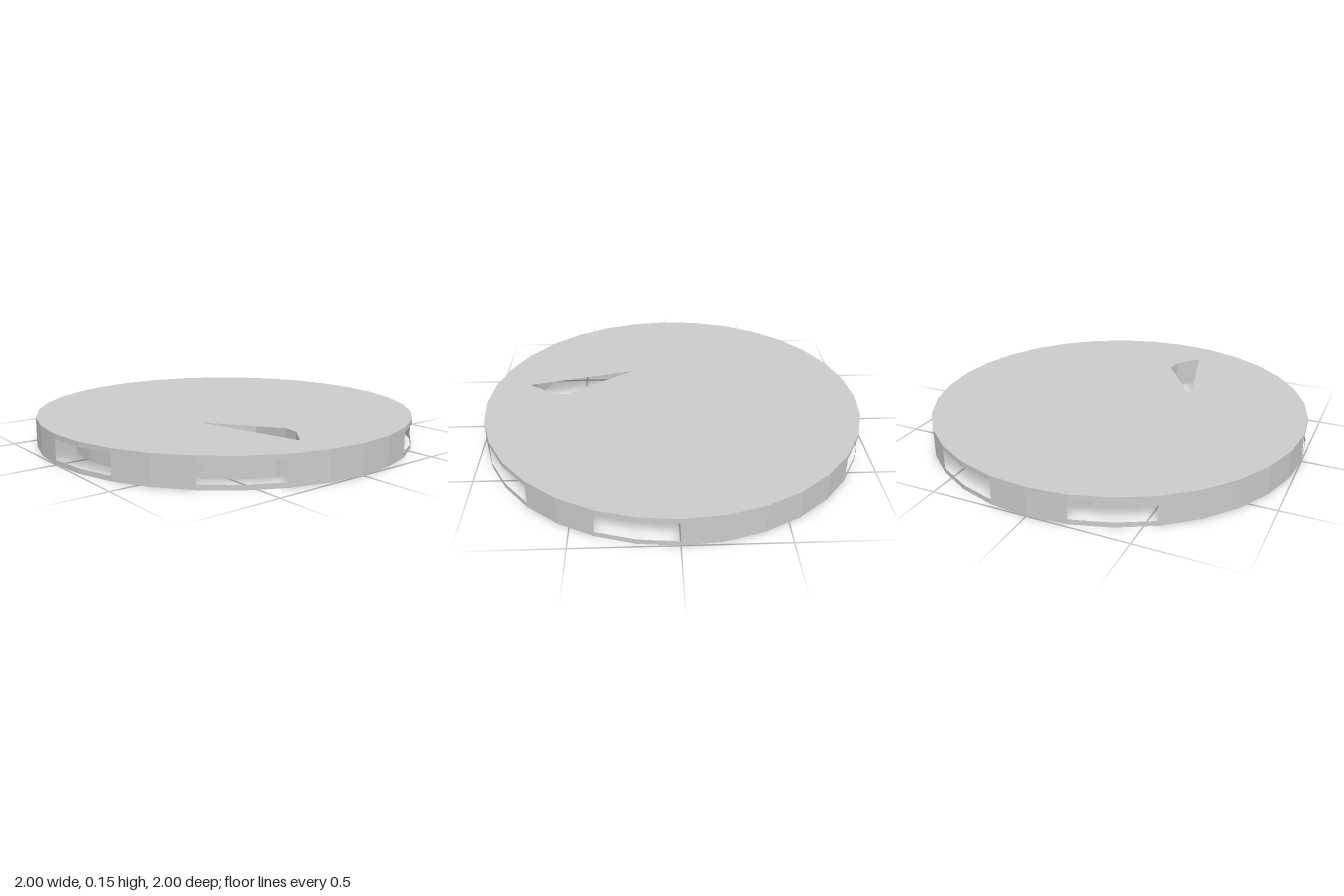
import * as THREE from 'three';

const H = 0.15, SIDES = 32, DEG = Math.PI / 180;
const material = new THREE.MeshStandardMaterial({
  color: 0xcccccc, flatShading: true, side: THREE.DoubleSide,
});

const polar = (r, deg) => [r * Math.cos(deg * DEG), r * Math.sin(deg * DEG)];

// Points [x, z] along an arc, from angle a to angle b
function arc(r, a, b, n) {
  return Array.from({ length: n + 1 }, (_, i) => polar(r, a + ((b - a) * i) / n));
}

// Thin upright sheets; each span is [start, end, bottom, top]
function sheets(name, spans) {
  const pos = [];
  for (const [[ax, az], [bx, bz], lo, hi] of spans) {
    pos.push(ax, lo, az, ax, hi, az, bx, hi, bz, ax, lo, az, bx, hi, bz, bx, lo, bz);
  }
  const geometry = new THREE.BufferGeometry();
  geometry.setAttribute('position', new THREE.Float32BufferAttribute(pos, 3));
  geometry.computeVertexNormals();
  const mesh = new THREE.Mesh(geometry, material);
  mesh.name = name;
  return mesh;
}

// Closed wall following an outline
function closedWall(name, points) {
  return sheets(name, points.map((p, i) => [p, points[(i + 1) % points.length], 0, H]));
}

export function createModel() {
  const model = new THREE.Group();
  model.name = 'slottedDisc';

  // Top plate with its wedge-shaped opening
  const toVec = ([x, z]) => new THREE.Vector2(x, z);
  const disc = new THREE.Shape(arc(1, 0, 360, SIDES).slice(0, SIDES).map(toVec));
  disc.holes.push(new THREE.Path(
    [[0.22, 0.33], [0.58, 0.08], [0.66, 0.09], [0.79, 0.19]].map(toVec)));
  const plate = new THREE.Mesh(new THREE.ShapeGeometry(disc).rotateX(Math.PI / 2), material);
  plate.position.y = H;
  plate.name = 'topPlate';
  model.add(plate);

  // Rim with six windows, each two facets wide
  const windowStarts = [2, 6, 13, 17, 24, 28];
  const rim = [];
  for (let i = 0; i < SIDES; i++) {
    const a = polar(1, (i * 360) / SIDES), b = polar(1, ((i + 1) * 360) / SIDES);
    if (windowStarts.some((s) => i === s || i === s + 1)) {
      rim.push([a, b, 0, 0.025], [a, b, 0.125, H]);
    } else {
      rim.push([a, b, 0, H]);
    }
  }
  model.add(sheets('rim', rim));

  // Pocket outline: flared sides mirrored about its middle at 60 degrees
  const side = [[0.385, 0.1], [0.58, 0.08], [0.66, 0.09], [0.79, 0.19]];
  const c = Math.cos(120 * DEG), s = Math.sin(120 * DEG);
  const mirrored = side.map(([x, z]) => [c * x + s * z, s * x - c * z]).reverse();
  const pocket = [
    ...side, ...arc(0.845, 22.5, 97.5, 7), ...mirrored, ...arc(0.397, 97.5, 22.5, 6),
  ];
  // Hub segment outline: two concentric arcs joined at the ends
  const hub = [...arc(0.2, 14, 106, 8), ...arc(0.265, 106, 14, 8)];

  // Three pockets and hub segments, separated by three channels
  for (let i = 0; i < 3; i++) {
    const sector = new THREE.Group();
    sector.name = 'sector' + (i + 1);
    sector.add(closedWall('pocketWall', pocket), closedWall('hubWall', hub));
    sector.rotation.y = -i * 120 * DEG;
    model.add(sector);
  }
  return model;
}
